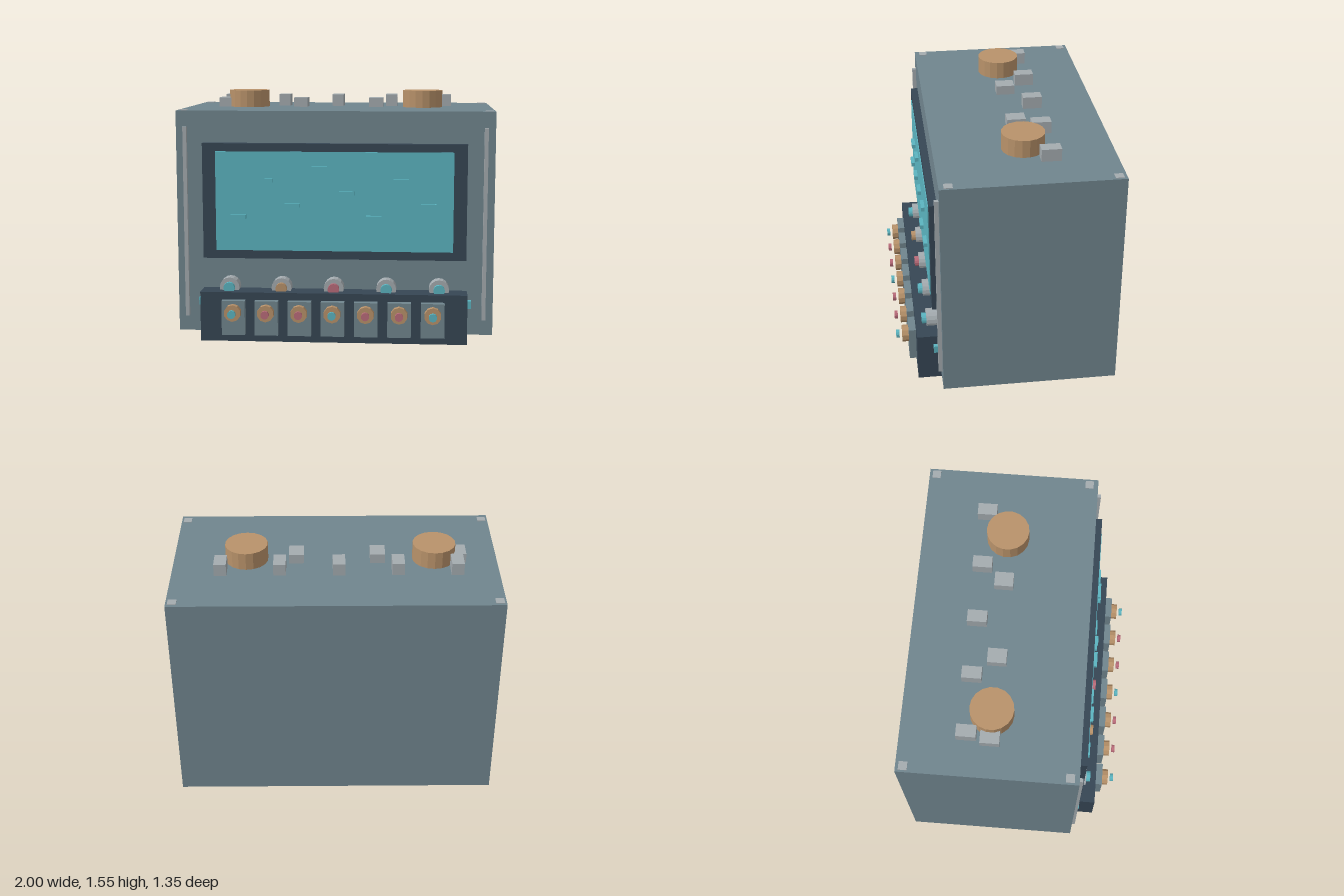
import * as THREE from 'three';

const mat = (name, color, flat = true) => {
  const m = new THREE.MeshStandardMaterial({ color, flatShading: flat });
  m.name = name;
  return m;
};

export function createModel() {
  const root = new THREE.Group();
  root.name = 'controlConsole';

  const slate = mat('slate', 0x70858e);
  const navy = mat('navy', 0x364654);
  const teal = mat('teal', 0x5bb4c0);
  const tan = mat('tan', 0xb8926a);
  const silver = mat('silver', 0xa4abaf);
  const red = mat('red', 0xb96b79);

  // Box given by its minimum and maximum corners
  const box = (name, m, x0, x1, y0, y1, z0, z1) => {
    const mesh = new THREE.Mesh(new THREE.BoxGeometry(x1 - x0, y1 - y0, z1 - z0), m);
    mesh.position.set((x0 + x1) / 2, (y0 + y1) / 2, (z0 + z1) / 2);
    mesh.name = name;
    root.add(mesh);
  };

  // Round part pointing forward, from z0 to z1
  const disc = (name, m, x, y, z0, z1, r, sides) => {
    const geo = new THREE.CylinderGeometry(r, r, z1 - z0, sides).rotateX(Math.PI / 2);
    const mesh = new THREE.Mesh(geo, m);
    mesh.position.set(x, y, (z0 + z1) / 2);
    mesh.name = name;
    root.add(mesh);
  };

  // Cabinet
  const top = 1.44, front = 0.406;
  box('cabinet', slate, -1, 1, 0.03, top, -0.673, front);

  // Screen with raised dashes
  box('screenFrame', navy, -0.828, 0.828, 0.512, 1.24, front - 0.02, 0.452);
  box('screen', teal, -0.745, 0.745, 0.565, 1.19, 0.45, 0.457);
  for (let i = 0; i < 8; i++) {
    const x = -0.6 + 0.17 * i, y = 0.78 + 0.0765 * ((3 * i) % 5);
    box('screenDash', teal, x - 0.048, x + 0.048, y - 0.013, y + 0.013, 0.456, 0.48);
  }

  // Lower control box
  box('controlBox', navy, -0.835, 0.835, 0, 0.313, 0.288, 0.55);

  // Front rails, side nubs and corner plates
  for (const s of [-1, 1]) {
    const rx = s * 0.942, nx = s * 0.84, cx = s * 0.962;
    box('frontRail', silver, rx - 0.012, rx + 0.012, 0.13, 1.34, front - 0.02, 0.431);
    box('sideNub', teal, nx - 0.022, nx + 0.022, 0.207, 0.254, front, 0.45);
    for (const z of [-0.628, 0.351]) {
      box('cornerPlate', silver, cx - 0.026, cx + 0.026, top - 0.01, top + 0.004, z - 0.026, z + 0.026);
    }
  }

  // Indicator lamps behind the control box
  [teal, tan, red, teal, teal].forEach((m, i) => {
    const x = -0.66 + 0.33 * i;
    disc('lampSocket', silver, x, 0.33, front - 0.01, 0.482, 0.063, 16);
    disc('lamp', m, x, 0.33, 0.47, 0.51, 0.036, 14);
  });

  // Seven control pads with knobs and floating caps
  for (let i = 0; i < 7; i++) {
    const x = -0.621 + 0.207 * i;
    box('controlPad', slate, x - 0.073, x + 0.073, 0.05, 0.267, 0.54, 0.595);
    disc('knob', tan, x, 0.197, 0.59, 0.635, 0.053, 10);
    disc('knobCap', i % 3 === 0 ? teal : red, x, 0.197, 0.652, 0.673, 0.026, 10);
  }

  // Roof drums
  for (const x of [-0.608, 0.547]) {
    const drum = new THREE.Mesh(new THREE.CylinderGeometry(0.132, 0.132, 0.13, 18), tan);
    drum.position.set(x, 1.485, -0.135);
    drum.name = 'roofDrum';
    root.add(drum);
  }

  // Roof blocks in two rows
  for (let i = 0; i < 5; i++) {
    const x = -0.743 + 0.361 * i;
    box('rearRoofBlock', silver, x - 0.038, x + 0.038, top - 0.01, 1.517, -0.336, -0.216);
  }
  for (let i = 0; i < 3; i++) {
    const x = -0.76 + 0.5 * i;
    box('frontRoofBlock', silver, x - 0.046, x + 0.046, top - 0.01, 1.5, -0.193, -0.077);
  }

  return root;
}
